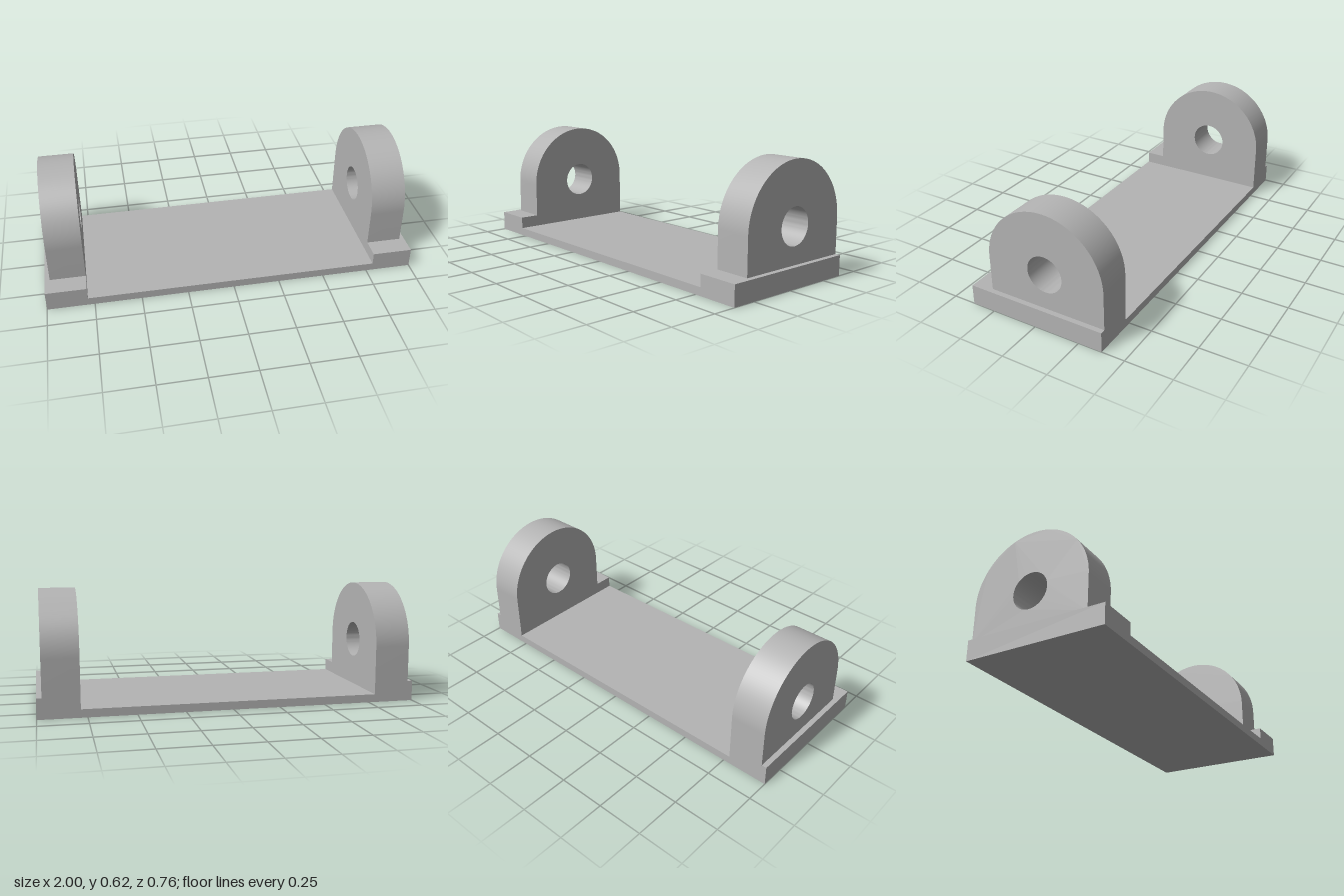
import * as THREE from 'three';
import { toCreasedNormals } from 'three/addons/utils/BufferGeometryUtils.js';

const DEPTH = 0.756;      // front to back
const INNER = 0.784;      // inner face of pads and lugs
const PAD_TOP = 0.108;
const PLATE_TOP = 0.043;
const LUG_WIDTH = 0.189;
const LUG_RADIUS = 0.324;
const HOLE_RADIUS = 0.097;
const AXIS_Y = 0.299;
const AXIS_Z = -0.054;

// Box standing on the ground
function slab(name, width, height, x, material) {
  const mesh = new THREE.Mesh(new THREE.BoxGeometry(width, height, DEPTH), material);
  mesh.name = name;
  mesh.position.set(x, height / 2, 0);
  return mesh;
}

// Round-topped lug with a bore, extruded along x
function lugGeometry() {
  const foot = PAD_TOP - AXIS_Y;
  const shape = new THREE.Shape();
  shape.moveTo(-LUG_RADIUS, foot);
  shape.lineTo(LUG_RADIUS, foot);
  shape.lineTo(LUG_RADIUS, 0);
  shape.absarc(0, 0, LUG_RADIUS, 0, Math.PI, false);
  shape.closePath();
  const bore = new THREE.Path();
  bore.absarc(0, 0, HOLE_RADIUS, 0, Math.PI * 2, true);
  shape.holes.push(bore);

  const geometry = new THREE.ExtrudeGeometry(shape, {
    depth: LUG_WIDTH, bevelEnabled: false, curveSegments: 40,
  });
  geometry.translate(0, 0, -LUG_WIDTH / 2);
  geometry.rotateY(Math.PI / 2);
  return toCreasedNormals(geometry, 0.6);
}

export function createModel() {
  const group = new THREE.Group();
  group.name = 'bracket';
  const grey = new THREE.MeshStandardMaterial({ color: 0xb4b4b4 });
  grey.name = 'grey';

  // Thin floor between the pads
  group.add(slab('basePlate', INNER * 2, PLATE_TOP, 0, grey));

  // Raised end pads, each carrying a lug
  const lugShape = lugGeometry();
  for (const [side, sign] of [['left', 1], ['right', -1]]) {
    group.add(slab(side + 'Pad', 1 - INNER, PAD_TOP, sign * (1 + INNER) / 2, grey));
    const lug = new THREE.Mesh(lugShape, grey);
    lug.name = side + 'Lug';
    lug.position.set(sign * (INNER + LUG_WIDTH / 2), AXIS_Y, AXIS_Z);
    group.add(lug);
  }
  return group;
}
